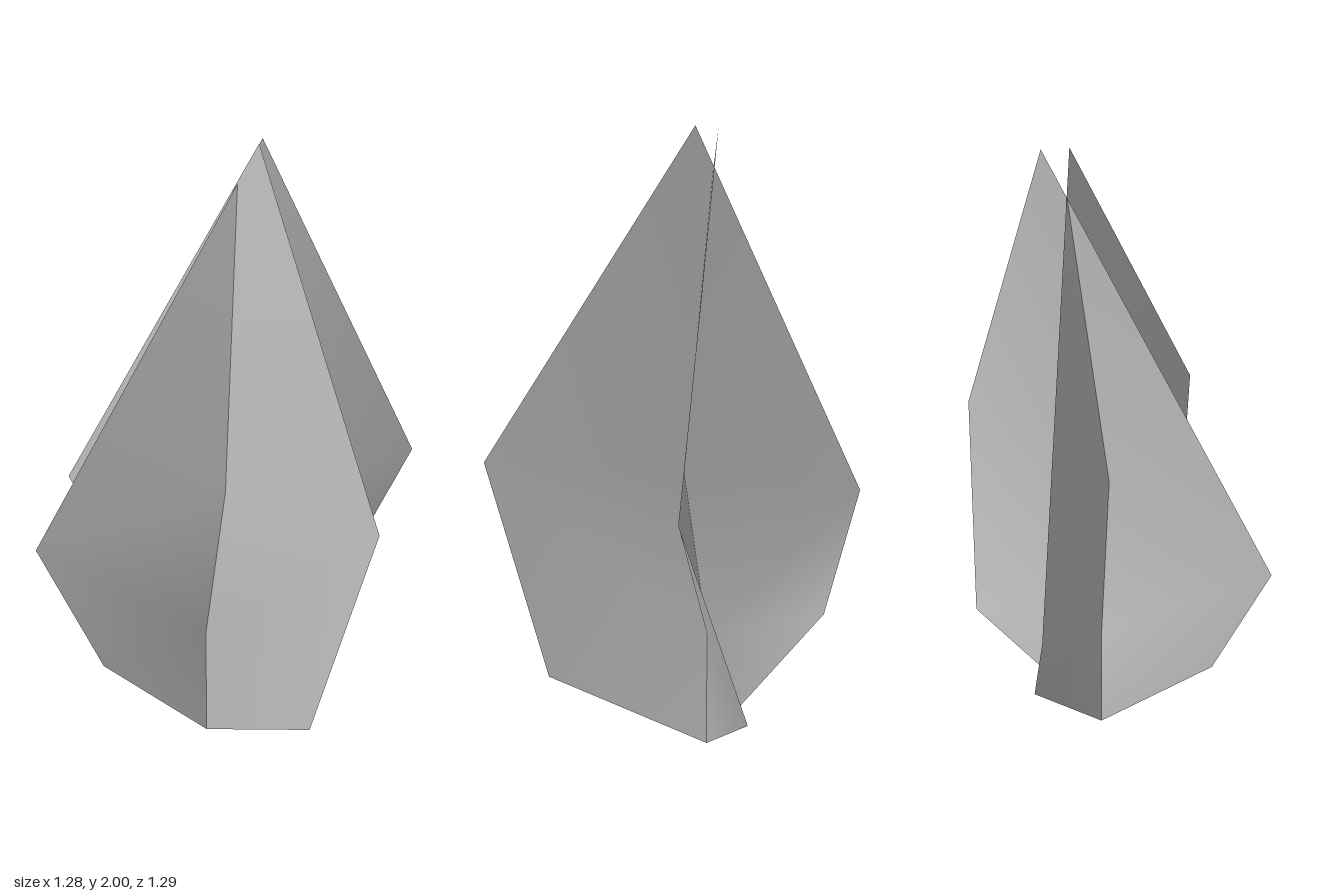
import * as THREE from 'three';

export function createModel() {
  const group = new THREE.Group();
  group.name = 'plant';
  const grey = new THREE.MeshStandardMaterial({ color: 0xbcbcbc, side: THREE.DoubleSide });
  grey.name = 'leaf grey';

  // Points of the spine shared by both leaves
  const base = [-0.07, 0, 0.04];
  const stem = [-0.07, 0.385, 0.04];
  const heart = [0.01, 0.93, 0.02];

  // Each leaf is a bent sheet: a spine with a low and a wide point on either side
  function leaf(name, tip, lowA, wideA, lowB, wideB) {
    const points = [base, stem, heart, tip, lowA, wideA, lowB, wideB];
    const index = [
      0, 4, 1, 1, 4, 5, 1, 5, 2, 2, 5, 3,
      0, 1, 6, 1, 7, 6, 1, 2, 7, 2, 3, 7,
    ];
    const geometry = new THREE.BufferGeometry();
    geometry.setAttribute('position', new THREE.Float32BufferAttribute(points.flat(), 3));
    geometry.setIndex(index);
    geometry.computeVertexNormals();
    const mesh = new THREE.Mesh(geometry, grey);
    mesh.name = name;
    group.add(mesh);
  }

  // Leaf spreading left and right
  leaf('sideLeaf', [0.005, 2, -0.11],
    [0.45, 0.28, 0.04], [0.64, 1.01, -0.03],
    [-0.47, 0.42, 0.04], [-0.64, 0.8, 0.19]);

  // Leaf spreading front and back
  leaf('frontBackLeaf', [-0.05, 2, -0.17],
    [-0.07, 0.42, 0.45], [-0.11, 0.88, 0.645],
    [-0.07, 0.28, -0.475], [0.175, 0.95, -0.645]);

  return group;
}
